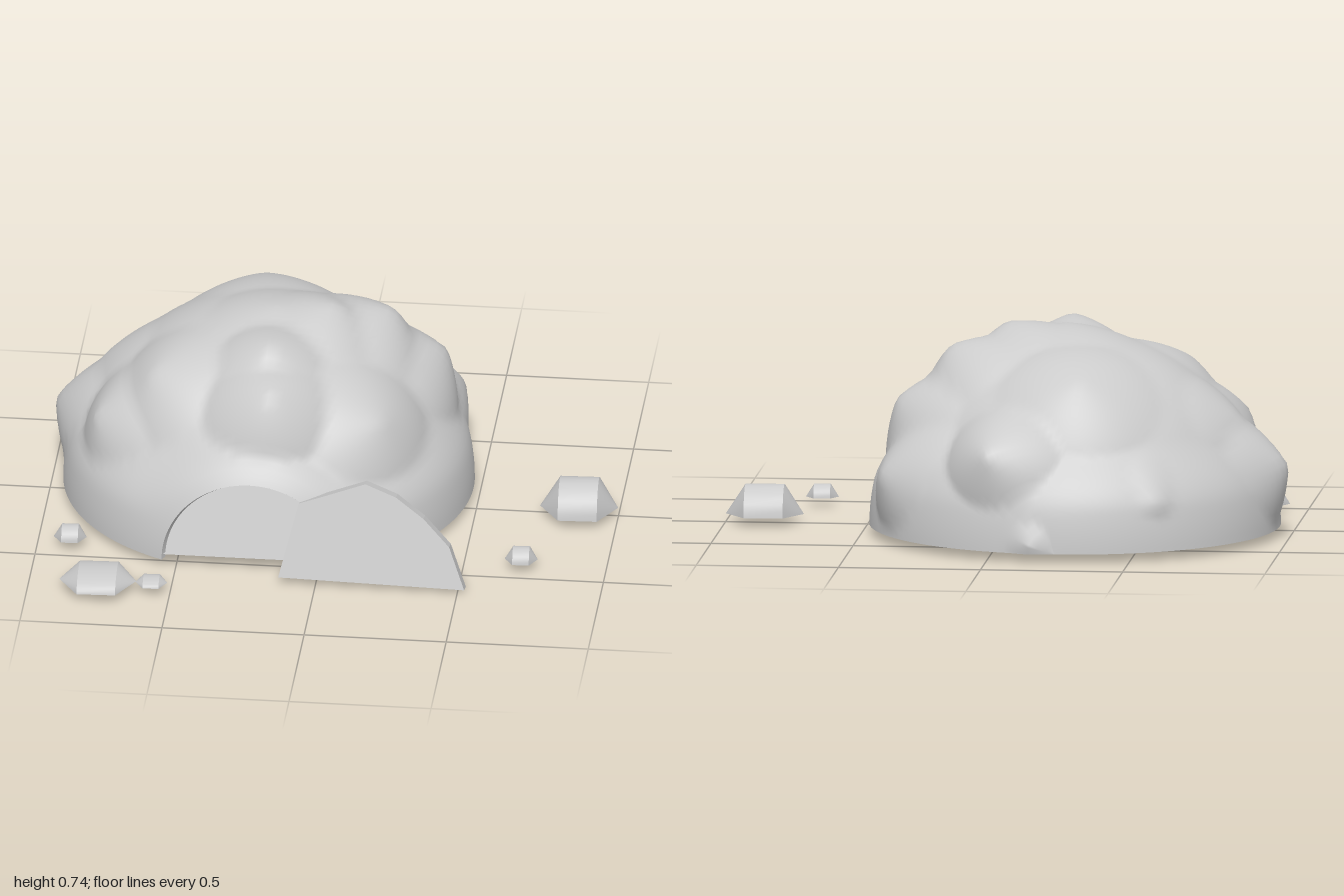
import * as THREE from 'three';
import { toCreasedNormals, mergeVertices } from 'three/addons/utils/BufferGeometryUtils.js';

const material = new THREE.MeshStandardMaterial({ color: 0xcccccc, side: THREE.DoubleSide });
const { smoothstep } = THREE.MathUtils;
const CENTRE = new THREE.Vector3(-0.24, 0.03, -0.1);
const FRONT = 0.65;            // distance from the centre to the flat front cut
const FOOT_RADIUS = 0.72;
const ROCK_RADIUS = 0.675;     // radius of the hollows between the crags
const WALL = 0.035;            // wall thickness as a share of the radius
const A0 = Math.acos(FRONT / FOOT_RADIUS);

// Tips of the crags: position and reach
const CRAGS = [
  [-1.0, 0.26, -0.19, 0.27],
  [-0.84, 0.42, -0.2, 0.25],
  [-0.82, 0.4, 0.2, 0.25],
  [-0.62, 0.58, 0.2, 0.25],
  [-0.62, 0.58, -0.22, 0.22],
  [-0.6, 0.2, -0.72, 0.2],
  [-0.3, 0.6, -0.55, 0.3],
  [-0.15, 0.06, -0.84, 0.2],
  [0.01, 0.37, -0.78, 0.24],
  [0.41, 0.25, -0.48, 0.28],
  [0.37, 0.49, -0.26, 0.28],
  [0.19, 0.67, -0.2, 0.27],
  [0.0, 0.74, -0.08, 0.25],
  [-0.2, 0.735, -0.06, 0.25],
  [-0.2, 0.725, 0.23, 0.2],
  [-0.18, 0.63, 0.42, 0.24],
  [0.2, 0.48, 0.3, 0.3],
].map(([x, y, z, reach]) => {
  const dir = new THREE.Vector3(x, y, z).sub(CENTRE);
  const rise = dir.length() - ROCK_RADIUS;
  return { dir: dir.normalize(), rise, reach: reach / ROCK_RADIUS };
});

// Point of the rock shell: a turns from the front axis to the back, b from +x over the top to -x
function shellPoint(a, b, scale) {
  const d = new THREE.Vector3(Math.sin(a) * Math.cos(b), Math.sin(a) * Math.sin(b), Math.cos(a));
  const shrink = smoothstep(d.y, 0.2, 0.55) * smoothstep(a, A0, A0 + 0.3);
  let r = FOOT_RADIUS + (ROCK_RADIUS - FOOT_RADIUS) * shrink;
  for (const c of CRAGS) {
    r = Math.max(r, ROCK_RADIUS + c.rise * (1 - d.distanceTo(c.dir) / c.reach));
  }
  const p = d.multiplyScalar(r * scale);
  p.z = Math.min(p.z, FRONT);
  return p.add(CENTRE);
}

// Surface over a grid of points
function gridGeometry(nu, nv, pointAt) {
  const pos = [], index = [];
  for (let i = 0; i <= nu; i++) {
    for (let j = 0; j <= nv; j++) {
      pos.push(...pointAt(i / nu, j / nv).toArray());
      if (i < nu && j < nv) {
        const k = i * (nv + 1) + j;
        index.push(k, k + nv + 1, k + 1, k + 1, k + nv + 1, k + nv + 2);
      }
    }
  }
  const g = new THREE.BufferGeometry();
  g.setAttribute('position', new THREE.Float32BufferAttribute(pos, 3));
  g.setIndex(index);
  g.computeVertexNormals();
  return g;
}

function add(parent, name, geometry) {
  const mesh = new THREE.Mesh(geometry, material);
  mesh.name = name;
  parent.add(mesh);
  return mesh;
}

// Boulder: open half of a turned barrel with pointed ends, lying along x
function addBoulder(parent, x, z, halfLength, radius, height) {
  const profile = [[0, -1], [1, -0.5], [1, 0.5], [0, 1]]
    .map(([r, l]) => new THREE.Vector2(r * radius, l * halfLength));
  const body = new THREE.LatheGeometry(profile, 14, 0, Math.PI);
  body.rotateZ(Math.PI / 2);
  body.deleteAttribute('normal');
  body.deleteAttribute('uv');
  const boulder = add(parent, 'boulder', toCreasedNormals(mergeVertices(body), 0.5));
  boulder.scale.y = height / radius;
  boulder.position.set(x, 0.03, z);
  boulder.rotation.y = 0.04;
}

export function createModel() {
  const model = new THREE.Group();
  model.name = 'caveDen';

  // Hollow rock mound, open at the flat front
  const cave = new THREE.Group();
  cave.name = 'cave';
  model.add(cave);
  const angle = (u) => A0 + (Math.PI - A0) * u;
  const shell = (scale) => gridGeometry(64, 72, (u, v) => shellPoint(angle(u), Math.PI * v, scale));
  add(cave, 'rockShell', shell(1));
  add(cave, 'innerWall', shell(1 - WALL));
  add(cave, 'openingRim', gridGeometry(1, 48, (u, v) => shellPoint(A0, Math.PI * v, 1 - WALL * u)));
  for (const b of [0, Math.PI]) {
    add(cave, 'footRim', gridGeometry(64, 1, (u, v) => shellPoint(angle(u), b, 1 - WALL * v)));
  }

  // Floor set just above the foot of the shell
  const foot = [];
  for (const [from, to, b] of [[0, 1, 0], [1, 0, Math.PI]]) {
    for (let i = 0; i < 48; i++) {
      const p = shellPoint(angle(from + (to - from) * i / 47), b, 0.99);
      foot.push(new THREE.Vector2(p.x, -p.z));
    }
  }
  const floor = new THREE.ShapeGeometry(new THREE.Shape(foot));
  floor.rotateX(-Math.PI / 2);
  floor.translate(0, 0.048, 0);
  add(cave, 'floor', floor);

  // Rounded stone slab leaning beside the opening
  const slabOutline = [[-0.13, 0], [0.525, 0], [0.465, 0.15], [0.37, 0.245], [0.27, 0.315],
    [0.16, 0.355], [0, 0.295], [-0.07, 0.27]].map(([x, y]) => new THREE.Vector2(x, y));
  const slab = add(model, 'doorSlab',
    new THREE.ExtrudeGeometry(new THREE.Shape(slabOutline), { depth: 0.06, bevelEnabled: false }));
  slab.rotation.set(-0.27, 0, -0.02);
  slab.position.set(0, 0.01, 0.58);

  // Scattered boulders: x, z, half length, radius, height
  for (const b of [
    [0.862, 0.003, 0.137, 0.11, 0.105],
    [-0.755, 0.725, 0.135, 0.112, 0.046],
    [-0.567, 0.722, 0.056, 0.049, 0.02],
    [-0.885, 0.413, 0.058, 0.048, 0.045],
    [0.702, 0.413, 0.058, 0.048, 0.045],
  ]) addBoulder(model, ...b);

  return model;
}
